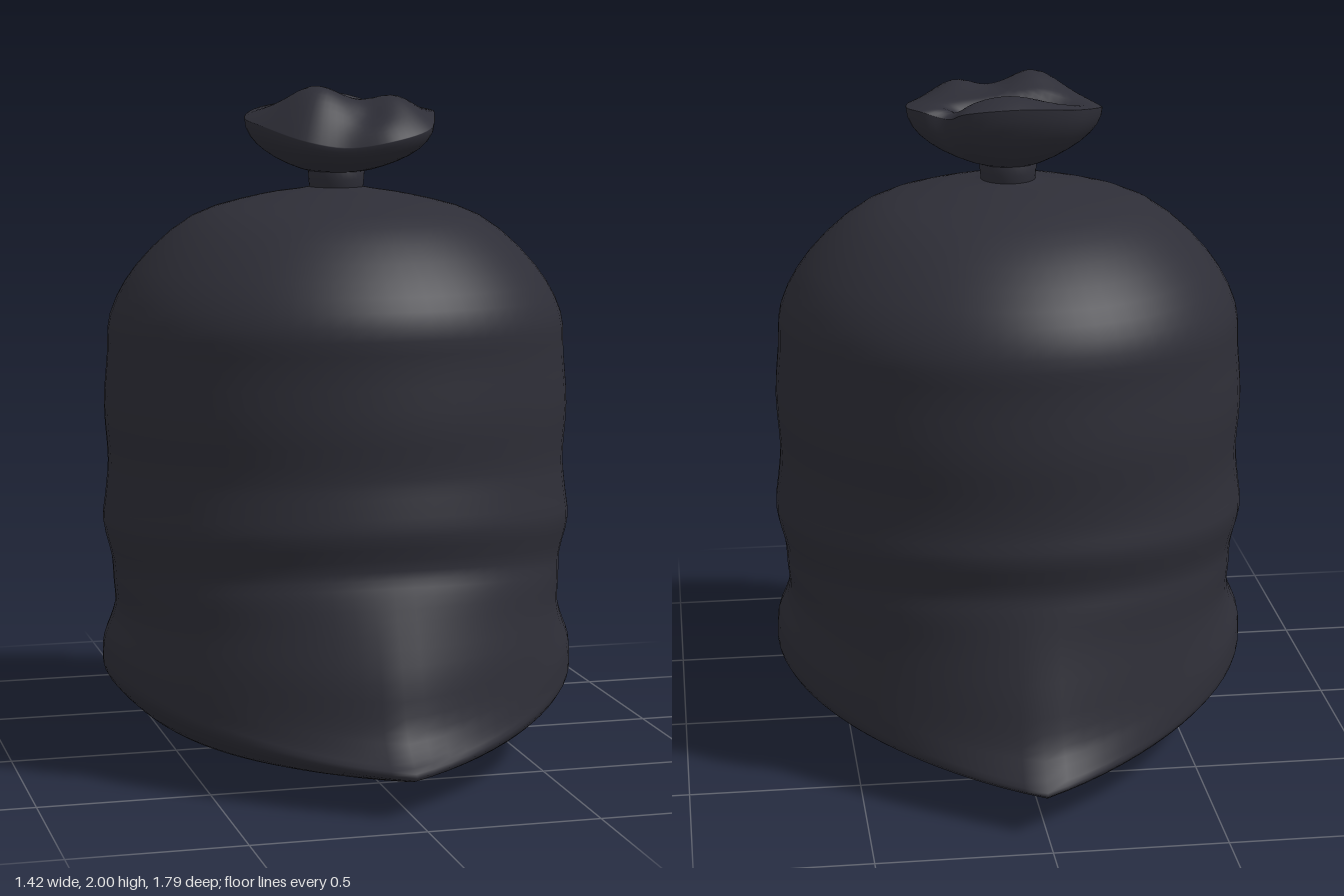
import * as THREE from 'three';

const SEG = 72;

// Skin closed rings, listed from the underside upward and inward
function loft(rings) {
  const pos = [], idx = [], n = rings[0].length;
  rings.forEach(r => r.forEach(p => pos.push(p.x, p.y, p.z)));
  for (let i = 0; i < rings.length - 1; i++) {
    for (let j = 0; j < n; j++) {
      const k = (j + 1) % n;
      const a = i * n + j, b = i * n + k, c = a + n, d = b + n;
      idx.push(a, b, d, a, d, c);
    }
  }
  const g = new THREE.BufferGeometry();
  g.setAttribute('position', new THREE.Float32BufferAttribute(pos, 3));
  g.setIndex(idx);
  g.computeVertexNormals();
  return g;
}

// Sack rows: height at sides, half width, height at front/back, front z, back z, pinched corner length
const ROWS = [
  [0.00, 0.003, 0.00, 0.003, 0.003, 0],
  [0.01, 0.20, 0.02, 0.22, 0.22, 0],
  [0.04, 0.40, 0.045, 0.45, 0.46, 0.01],
  [0.10, 0.55, 0.055, 0.63, 0.64, 0.06],
  [0.18, 0.65, 0.09, 0.82, 0.80, 0.15],
  [0.25, 0.705, 0.12, 0.895, 0.895, 0.19],
  [0.30, 0.71, 0.155, 0.85, 0.86, 0.15],
  [0.35, 0.705, 0.22, 0.79, 0.80, 0.09],
  [0.41, 0.68, 0.35, 0.75, 0.755, 0.05],
  [0.45, 0.67, 0.48, 0.70, 0.715, 0.02],
  [0.52, 0.675, 0.58, 0.66, 0.69, 0],
  [0.59, 0.68, 0.65, 0.635, 0.678, 0],
  [0.70, 0.705, 0.75, 0.655, 0.70, 0],
  [0.78, 0.697, 0.83, 0.645, 0.69, 0],
  [0.88, 0.688, 0.91, 0.633, 0.69, 0],
  [1.05, 0.698, 1.05, 0.64, 0.70, 0],
  [1.20, 0.687, 1.22, 0.632, 0.69, 0],
  [1.32, 0.677, 1.34, 0.63, 0.685, 0],
  [1.46, 0.60, 1.46, 0.56, 0.62, 0],
  [1.61, 0.43, 1.60, 0.41, 0.45, 0],
  [1.67, 0.23, 1.67, 0.22, 0.25, 0],
  [1.69, 0.11, 1.69, 0.11, 0.11, 0],
  [1.70, 0.06, 1.70, 0.06, 0.06, 0],
];

function sackGeometry() {
  const columns = [];
  for (let j = 0; j < SEG; j++) {
    const a = j / SEG * Math.PI * 2, s = Math.sin(a), c = Math.cos(a);
    const peak = Math.max(0, 1 - Math.abs(s) * 1.15) ** 2;
    const pts = ROWS.map(([ys, rx, yf, zf, zb, ear]) => {
      const z = (c > 0 ? zf : zb) - ear;
      return new THREE.Vector3(
        rx * s,
        THREE.MathUtils.lerp(ys, yf, c * c),
        Math.sign(c) * (z * Math.abs(c) + ear * peak));
    });
    columns.push(new THREE.CatmullRomCurve3(pts, false, 'centripetal').getPoints((ROWS.length - 1) * 3));
  }
  return loft(columns[0].map((_, i) => columns.map(col => col[i])));
}

// Outline of the gathered top: x, rim height, z
const RIM = [
  [0.10, 1.84, 0.285], [0.22, 1.87, 0.235], [0.275, 1.91, 0.10], [0.30, 1.92, -0.04],
  [0.265, 1.92, -0.10], [0.19, 1.90, -0.12], [0.15, 1.93, -0.20], [0, 1.945, -0.228],
  [-0.18, 1.93, -0.175], [-0.28, 1.90, 0], [-0.25, 1.88, 0.11], [-0.15, 1.84, 0.225], [-0.03, 1.82, 0.25],
];

const bump = (x, z, cx, cz, r) => Math.exp(-((x - cx) ** 2 + (z - cz) ** 2) / (r * r));

// Height of the crumpled upper face, with a fold running across it
function crumple(x, z) {
  const fold = Math.exp(-(((z + 0.075) / 0.03) ** 2)) * Math.exp(-((x / 0.17) ** 4));
  return 1.935 + 0.065 * bump(x, z, -0.09, 0.1, 0.11) + 0.04 * bump(x, z, 0.15, 0.12, 0.09)
    + 0.04 * bump(x, z, 0.02, -0.18, 0.13) - 0.07 * fold - 0.03 * bump(x, z, 0.04, 0.2, 0.06);
}

function gatherGeometry() {
  const curve = new THREE.CatmullRomCurve3(RIM.map(p => new THREE.Vector3(...p)), true, 'centripetal');
  const rim = curve.getPoints(SEG).slice(0, SEG);
  const rings = [];
  // Flaring underside
  for (let i = 0; i <= 8; i++) {
    const t = i / 8, out = Math.sin(t * Math.PI / 2);
    rings.push(rim.map(p => {
      const r = Math.hypot(p.x, p.z), k = THREE.MathUtils.lerp(0.07 / r, 1, out);
      return new THREE.Vector3(p.x * k, 1.74 + (p.y - 1.74) * t ** 1.3, p.z * k);
    }));
  }
  // Crumpled upper face
  for (let i = 1; i <= 16; i++) {
    const k = Math.max(0.004, Math.cos(i / 16 * Math.PI / 2));
    rings.push(rim.map(p => {
      const x = p.x * k, z = p.z * k;
      return new THREE.Vector3(x, THREE.MathUtils.lerp(crumple(x, z), p.y, k ** 5), z);
    }));
  }
  return loft(rings);
}

export function createModel() {
  const group = new THREE.Group();
  group.name = 'tiedSack';
  const plastic = new THREE.MeshStandardMaterial({ color: 0x2e2e37 });
  plastic.name = 'dark plastic';

  const add = (name, geometry) => {
    const mesh = new THREE.Mesh(geometry, plastic);
    mesh.name = name;
    group.add(mesh);
  };

  add('sackBody', sackGeometry());
  add('gatheredTop', gatherGeometry());

  // Tie band around the neck
  const band = [[0.07, 1.67], [0.08, 1.69], [0.083, 1.72], [0.085, 1.75], [0.075, 1.765], [0.05, 1.77]];
  add('neckTie', new THREE.LatheGeometry(band.map(p => new THREE.Vector2(...p)), 32));
  return group;
}
